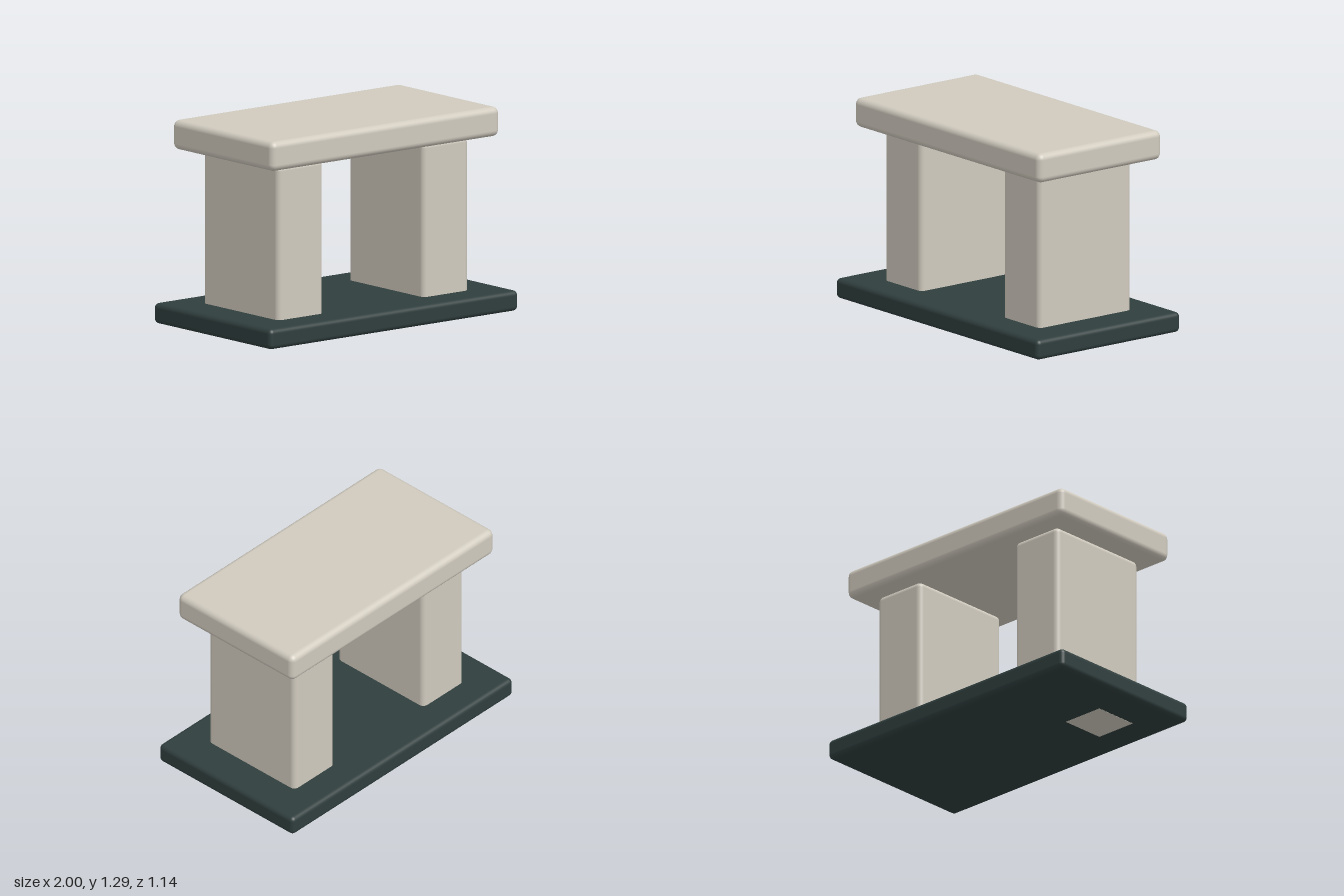
import * as THREE from 'three';
import { RoundedBoxGeometry } from 'three/addons/geometries/RoundedBoxGeometry.js';

export function createModel() {
  const group = new THREE.Group();
  const stone = new THREE.MeshStandardMaterial({ color: 0xd0cabe });
  stone.name = 'pale stone';
  const slate = new THREE.MeshStandardMaterial({ color: 0x2f3e3d });
  slate.name = 'dark slate';

  // Rounded slab standing on y = bottom
  function slab(name, material, w, h, d, radius, x, bottom) {
    const mesh = new THREE.Mesh(new RoundedBoxGeometry(w, h, d, 4, radius), material);
    mesh.name = name;
    mesh.position.set(x, bottom + h / 2, 0);
    group.add(mesh);
  }

  // Ground plinth and seat slab
  slab('base', slate, 2, 0.128, 1.14, 0.03, 0, 0);
  slab('seat', stone, 1.834, 0.186, 0.98, 0.04, 0, 1.1);

  // Two upright blocks set into the base
  for (const side of [-1, 1]) {
    slab(side > 0 ? 'leftSupport' : 'rightSupport', stone, 0.365, 1.09, 0.734, 0.035, side * 0.584, 0.01);
  }

  // Exposed foot of the right support under the base
  const foot = new THREE.Mesh(new THREE.BoxGeometry(0.285, 0.004, 0.3), stone);
  foot.name = 'supportFoot';
  foot.position.set(-0.594, 0.001, 0.195);
  group.add(foot);

  return group;
}
